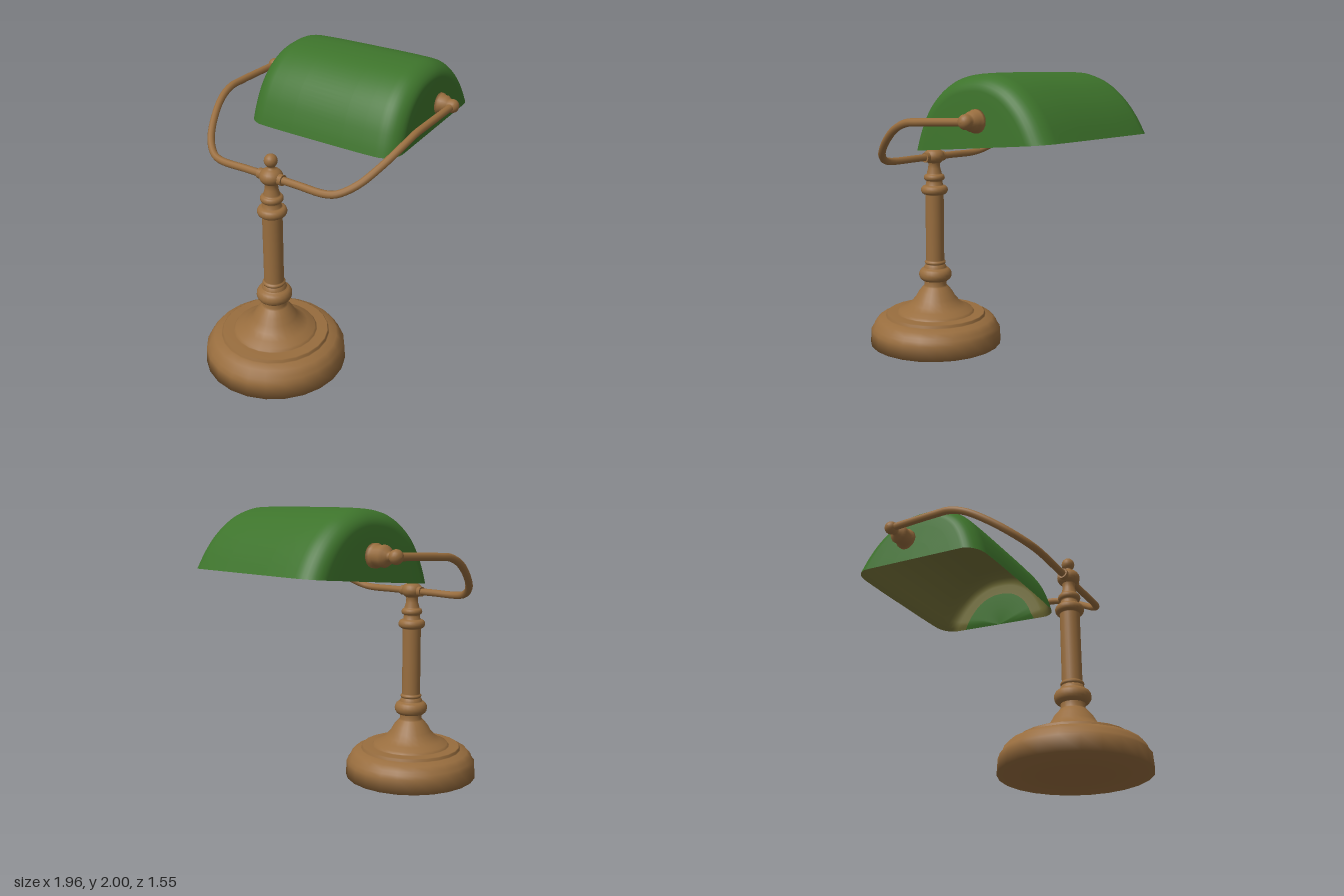
import * as THREE from 'three';

const flat = (name, color) => Object.assign(new THREE.MeshStandardMaterial({ color }), { name });
const brass = flat('brass', 0x986d3e);
const green = flat('green glass', 0x3d732b);
const olive = flat('shade lining', 0x747038);

function mesh(name, geometry, material, parent) {
  const m = new THREE.Mesh(geometry, material);
  m.name = name;
  parent.add(m);
  return m;
}

const lathe = (points, sides = 24) =>
  new THREE.LatheGeometry(points.map(([r, y]) => new THREE.Vector2(r, y)), sides);

// Points of a rounded bead, from bottom to top
function bead(y, inner, outer, halfHeight, n = 8) {
  return Array.from({ length: n + 1 }, (_, i) => {
    const a = -Math.PI / 2 + (Math.PI * i) / n;
    return [inner + (outer - inner) * Math.cos(a), y + halfHeight * Math.sin(a)];
  });
}

// Shade arch in the x/y plane, tilted with its rim
const MID = new THREE.Vector3(0.445, 1.56, 0.05), SLOPE = 0.0935;
const arch = new THREE.SplineCurve([
  [-0.09, 1.51], [-0.065, 1.6], [-0.02, 1.715], [0.05, 1.825], [0.15, 1.915], [0.27, 1.975], [0.43, 2.0],
  [0.56, 1.99], [0.7, 1.935], [0.82, 1.84], [0.91, 1.73], [0.98, 1.61],
].map(([x, y]) => new THREE.Vector2(x, y))).getPoints(44);

// Shade cross-sections: [distance from the middle along z, scale]
function shadeRings() {
  const half = 0.59, corner = 0.14, side = [[0.2, 1], [0.35, 0.997]];
  for (let i = 0; i <= 8; i++) {
    const a = (i / 8) * Math.PI / 2;
    side.push([half - corner + corner * Math.sin(a), 0.99 - 0.23 * (1 - Math.cos(a))]);
  }
  for (const s of [0.6, 0.3, 0]) side.push([half, s]);
  return [...side.map(([t, s]) => [-t, s]).reverse(), ...side];
}

// The inside surface leaves the outer one at the rim and runs just under it
function shadeSurface(rings, inside) {
  const pos = [], index = [], n = arch.length, v = new THREE.Vector3();
  for (const [t, s] of rings) {
    for (const p of arch) {
      v.set((p.x - MID.x) * s, (p.y - MID.y) * s, t);
      const h = v.y - v.x * SLOPE;
      v.z *= 1 - 0.1 * h;
      if (inside) v.multiplyScalar(1 - 0.025 * THREE.MathUtils.clamp(h / 0.04, 0, 1));
      pos.push(...v.add(MID));
    }
  }
  for (let i = 0; i < rings.length - 1; i++) {
    for (let j = 0; j < n - 1; j++) {
      const a = i * n + j, b = a + n, c = a + 1, d = b + 1;
      if (inside) index.push(a, c, b, b, c, d);
      else index.push(a, b, c, b, d, c);
    }
  }
  const g = new THREE.BufferGeometry();
  g.setAttribute('position', new THREE.Float32BufferAttribute(pos, 3));
  g.setIndex(index);
  g.computeVertexNormals();
  return g;
}

export function createModel() {
  const lamp = new THREE.Group();
  lamp.name = 'deskLamp';

  // Stand, turned around one axis
  const stand = new THREE.Group();
  stand.name = 'stand';
  stand.position.x = -0.495;
  lamp.add(stand);

  mesh('base', lathe([
    [0, 0], [0.25, 0.004], [0.487, 0.01], [0.48, 0.115], [0.46, 0.14], [0.452, 0.165], [0.425, 0.195],
    [0.374, 0.21], [0.368, 0.214], [0.367, 0.23], [0.36, 0.235], [0.29, 0.235], [0.284, 0.238],
    [0.275, 0.255], [0.225, 0.275], [0.185, 0.305],
    [0.15, 0.345], [0.125, 0.39], [0.09, 0.43], [0.08, 0.44], [0.08, 0.475],
  ]), brass, stand);
  mesh('column', lathe([
    ...bead(0.522, 0.08, 0.121, 0.048), [0.085, 0.575], [0.072, 0.598],
    ...bead(0.612, 0.068, 0.078, 0.012, 4), [0.067, 0.63], [0.067, 1.115],
    ...bead(1.152, 0.07, 0.098, 0.032), [0.062, 1.188], [0.06, 1.21],
    ...bead(1.243, 0.055, 0.076, 0.024), [0.054, 1.275], [0.044, 1.31], [0.042, 1.34], [0.05, 1.36],
  ]), brass, stand);
  mesh('finial', lathe([
    ...bead(1.397, 0.0, 0.077, 0.06, 12).slice(0, -2), [0.026, 1.455], [0.024, 1.465],
    ...bead(1.505, 0, 0.044, 0.045, 10).slice(2),
  ]), brass, stand);

  // Arms and pivots on the front and back
  for (const side of [1, -1]) {
    const label = side > 0 ? 'front' : 'back';
    const path = new THREE.CatmullRomCurve3([
      [-0.495, 1.393, 0.02], [-0.495, 1.393, 0.2], [-0.495, 1.393, 0.41], [-0.475, 1.408, 0.49],
      [-0.4, 1.465, 0.585], [-0.27, 1.56, 0.665], [-0.12, 1.652, 0.72], [0, 1.695, 0.737],
      [0.12, 1.705, 0.738], [0.485, 1.722, 0.732],
    ].map(([x, y, z]) => new THREE.Vector3(x, y, z * side)));
    mesh(label + 'Arm', new THREE.TubeGeometry(path, 64, 0.025, 10), brass, lamp);

    const collar = mesh(label + 'Collar', new THREE.CylinderGeometry(0.036, 0.036, 0.05, 16), brass, lamp);
    collar.rotation.x = Math.PI / 2;
    collar.position.set(-0.495, 1.393, side * 0.07);

    // The front pivot rests on the glass, the back one stands off it
    const body = side > 0
      ? [[0, 0.637], [0.072, 0.637], [0.07, 0.655], [0.06, 0.668], [0.06, 0.69], [0.045, 0.705]]
      : [[0, 0.555], [0.075, 0.555], [0.075, 0.58], [0.062, 0.587], [0.068, 0.645], [0.056, 0.668],
        [0.032, 0.68], [0.028, 0.693]];
    const pivot = mesh(label + 'Pivot', lathe([
      ...body, ...bead(0.734, 0, 0.046, 0.043, 10).slice(side > 0 ? 4 : 2),
    ], 20), brass, lamp);
    pivot.rotation.x = side * Math.PI / 2;
    pivot.position.set(0.487, 1.722, 0);
  }

  // Shade: glass outside, olive lining inside with a bare patch at the front end
  const rings = shadeRings(), shade = new THREE.Group();
  shade.name = 'shade';
  lamp.add(shade);
  mesh('shadeGlass', shadeSurface(rings, false), green, shade);
  mesh('shadeLining', shadeSurface(rings.slice(0, -2), true), olive, shade);
  mesh('barePatch', shadeSurface(rings.slice(-3), true), green, shade);

  return lamp;
}
